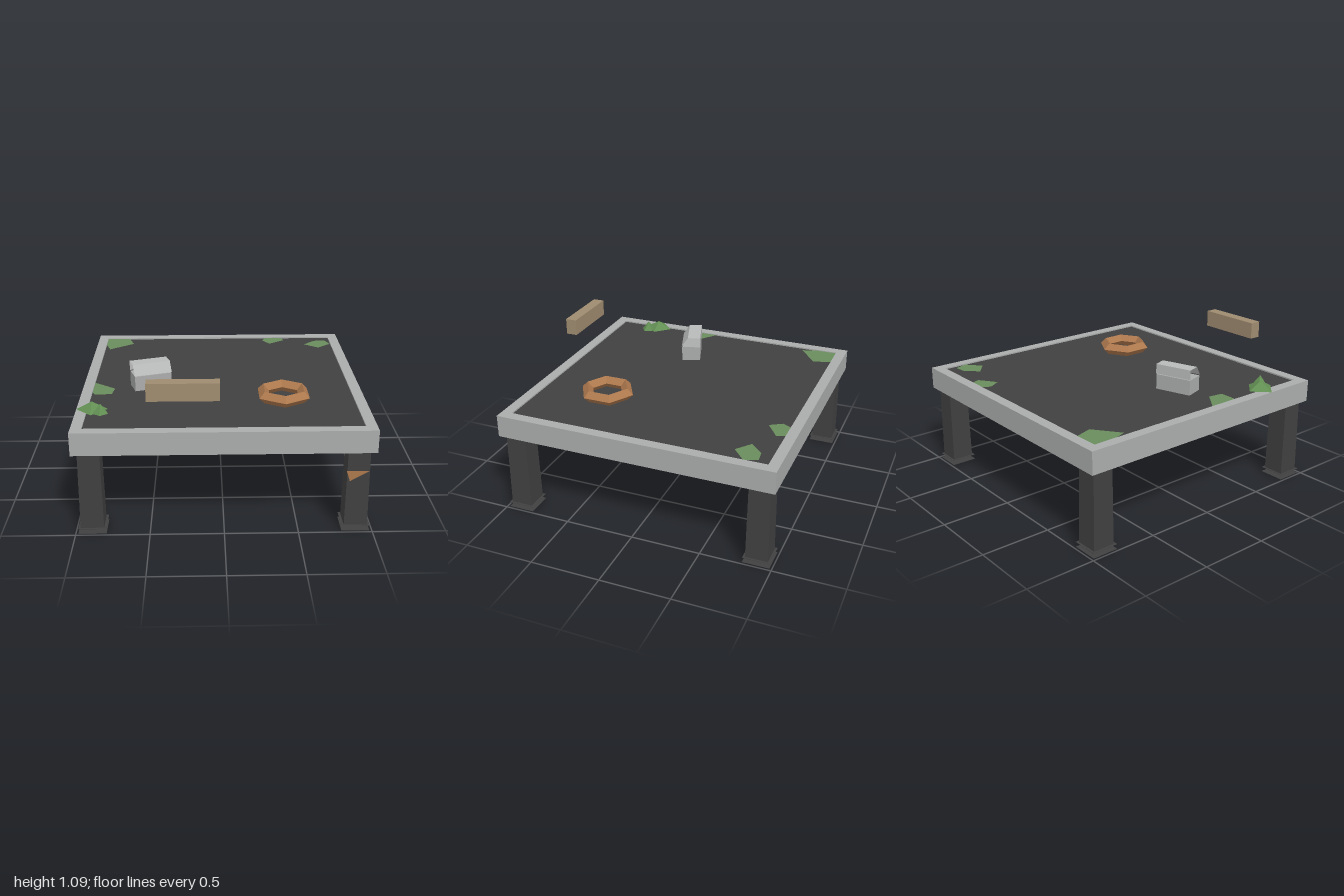
import * as THREE from 'three';

const mat = (name, color, extra = {}) => {
  const m = new THREE.MeshStandardMaterial({ color, flatShading: true, ...extra });
  m.name = name;
  return m;
};

export function createModel() {
  const root = new THREE.Group();
  const both = { side: THREE.DoubleSide };
  const concrete = mat('paleGrey', 0xaaacab);
  const lidGrey = mat('lightGrey', 0xb8bab9, both);
  const dark = mat('charcoal', 0x404040, both);
  const rust = mat('rustBrown', 0xae794e, both);
  const wood = mat('plankTan', 0x9f8c70);
  const leaf = mat('leafGreen', 0x628f53, both);
  const moss = mat('mossGreen', 0x6a8d5c, both);

  const add = (name, geo, material, x = 0, y = 0, z = 0, parent = root) => {
    const mesh = new THREE.Mesh(geo, material);
    mesh.name = name;
    mesh.position.set(x, y, z);
    parent.add(mesh);
    return mesh;
  };
  const box = (name, w, h, d, material, x, y, z, parent) =>
    add(name, new THREE.BoxGeometry(w, h, d), material, x, y, z, parent);

  // Square ring lying flat, from its bottom height upwards
  const squareRing = (name, outer, inner, bottom, height, material) => {
    const square = (r) => [[-r, -r], [r, -r], [r, r], [-r, r]].map((p) => new THREE.Vector2(...p));
    const shape = new THREE.Shape(square(outer));
    shape.holes.push(new THREE.Path(square(inner)));
    const geo = new THREE.ExtrudeGeometry(shape, { depth: height, bevelEnabled: false });
    geo.rotateX(-Math.PI / 2);
    add(name, geo, material, 0, bottom, 0);
  };

  // Platform with raised rim
  squareRing('rim', 1, 0.925, 0.59, 0.16, concrete);
  squareRing('undersideTrim', 0.985, 0.87, 0.584, 0.008, dark);
  box('deck', 1.85, 0.08, 1.85, dark, 0, 0.7, 0);

  // Cross beams below the deck
  box('crossBeam', 1.85, 0.05, 0.05, dark, 0, 0.635, 0);
  box('longBeam', 0.1, 0.04, 1.55, concrete, 0, 0.625, 0);

  // Tapered legs with two thin foot plates
  for (const sx of [-1, 1]) for (const sz of [-1, 1]) {
    const leg = new THREE.CylinderGeometry(0.073 * Math.SQRT2, 0.079 * Math.SQRT2, 0.63, 4);
    leg.rotateY(Math.PI / 4);
    add('leg', leg, dark, sx * 0.888, 0.35, sz * 0.888);
    box('footPlate', 0.19, 0.002, 0.19, dark, sx * 0.888, 0.001, sz * 0.888);
    box('upperFootPlate', 0.19, 0.002, 0.19, dark, sx * 0.888, 0.036, sz * 0.888);
  }

  // Rust patch on the front of one leg
  const tri = new THREE.Shape([[0.808, 0.445], [0.832, 0.37], [0.962, 0.445]]
    .map((p) => new THREE.Vector2(...p)));
  add('rustPatch', new THREE.ShapeGeometry(tri), rust, 0, 0, 0.969);

  // Floating plank
  box('plank', 0.47, 0.12, 0.083, wood, -0.263, 1.025, 0.958);

  // Crate with an open-ended folded lid
  const crate = new THREE.Group();
  crate.name = 'crate';
  crate.position.set(-0.513, 0, 0.148);
  crate.rotation.y = 0.316;
  root.add(crate);
  box('crateBody', 0.27, 0.11, 0.14, concrete, 0, 0.795, 0, crate);
  const lidProfile = [[0.074, 0.855], [0.026, 0.926], [-0.07, 0.926], [-0.07, 0.855]];
  for (let i = 0; i < 3; i++) {
    const [z0, y0] = lidProfile[i], [z1, y1] = lidProfile[i + 1];
    const panel = add('lidPanel', new THREE.PlaneGeometry(0.275, Math.hypot(z1 - z0, y1 - y0)),
      lidGrey, 0, (y0 + y1) / 2, (z0 + z1) / 2, crate);
    panel.rotation.x = Math.atan2(z1 - z0, y1 - y0);
  }

  // Six-sided ring with a diamond section
  const ring = new THREE.TorusGeometry(0.158, 0.043, 4, 6);
  ring.rotateX(Math.PI / 2);
  ring.rotateY(Math.PI / 6);
  add('fireRing', ring, rust, 0.428, 0.786, 0.432);

  // Pointed shrubs
  const shrub = (r, h, sides, x, z) => {
    const geo = new THREE.ConeGeometry(r, h, sides);
    add('shrub', geo, leaf, x, 0.75 + h / 2, z);
  };
  shrub(0.108, 0.057, 4, -0.892, 0.6);
  shrub(0.055, 0.067, 5, -0.828, 0.667);

  // Flat moss patches on the deck, as x, z outlines
  const patches = [
    [[-0.925, -0.925], [-0.745, -0.925], [-0.705, -0.795], [-0.888, -0.66], [-0.925, -0.77]],
    [[0.4, -0.925], [0.525, -0.925], [0.546, -0.862], [0.42, -0.775], [0.366, -0.862]],
    [[0.706, -0.75], [0.797, -0.84], [0.888, -0.85], [0.92, -0.757], [0.813, -0.666]],
    [[-0.925, 0.09], [-0.77, 0.21], [-0.785, 0.318], [-0.908, 0.318], [-0.925, 0.28]],
  ];
  for (const outline of patches) {
    const shape = new THREE.Shape(outline.map(([x, z]) => new THREE.Vector2(x, -z)));
    const geo = new THREE.ShapeGeometry(shape);
    geo.rotateX(-Math.PI / 2);
    add('mossPatch', geo, moss, 0, 0.744, 0);
  }
  return root;
}
